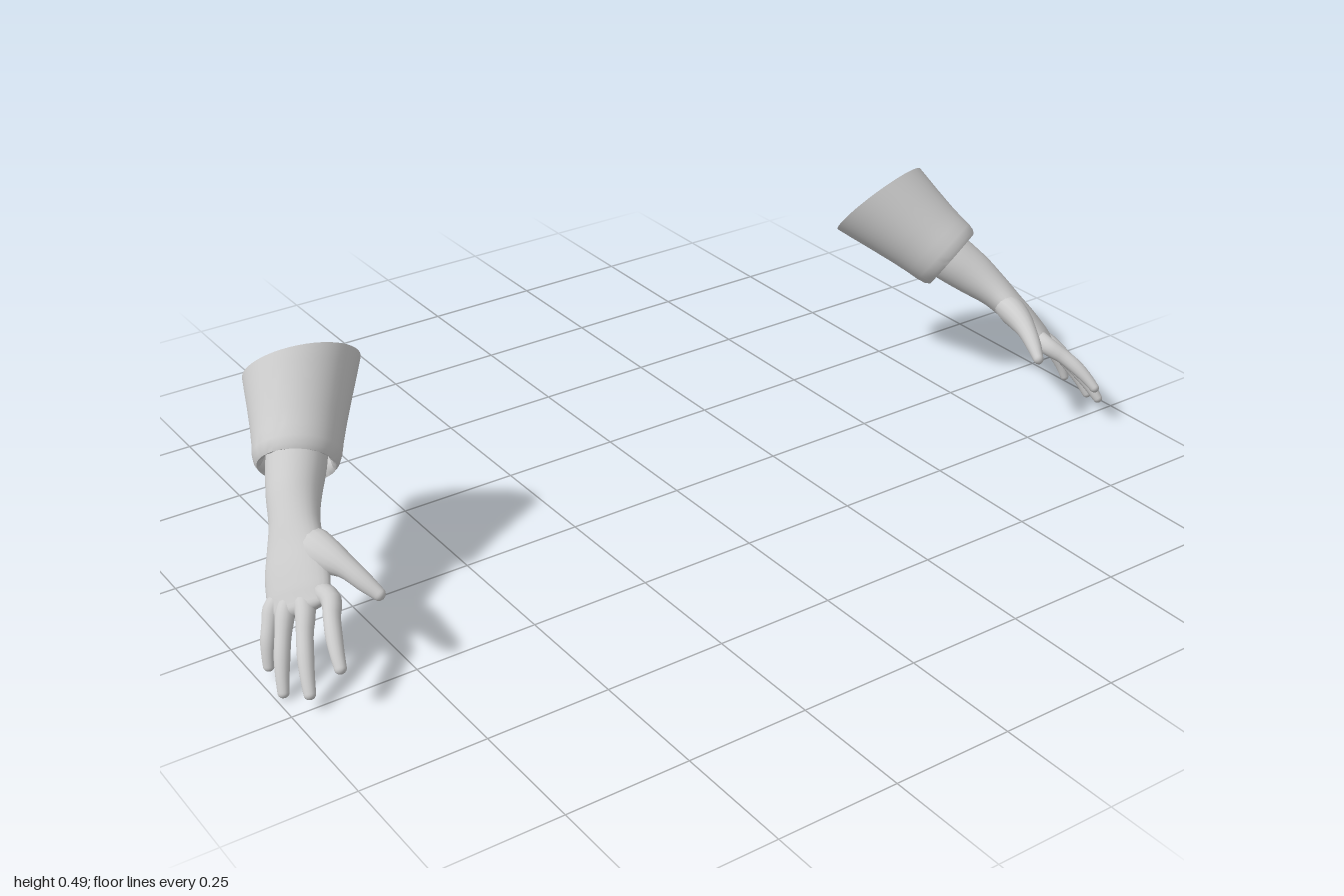
import * as THREE from 'three';
import { toCreasedNormals } from 'three/addons/utils/BufferGeometryUtils.js';

const V = (x, y, z) => new THREE.Vector3(x, y, z);
const ACROSS = V(-0.62, 0.35, 0.7);   // little finger towards index
const BACK = V(0.675, 0.69, 0.25);    // out of the back of the hand

// Elliptical ring around a centre, facing along the tangent
function ring(center, tangent, a, b, n, wave = 0) {
  const u = ACROSS.clone().addScaledVector(tangent, -ACROSS.dot(tangent)).normalize();
  const v = tangent.clone().cross(u);
  return Array.from({ length: n }, (_, i) => {
    const t = (i / n) * Math.PI * 2, w = wave * Math.cos(t * 16);
    return center.clone().addScaledVector(u, (a + w) * Math.cos(t)).addScaledVector(v, (b + w) * Math.sin(t));
  });
}

// Skin through rings; side = -1 mirrors it across x
function skin(rings, side) {
  const n = rings[0].length, pos = [], idx = [];
  rings.forEach(r => r.forEach(p => pos.push(p.x * side, p.y, p.z)));
  const tri = (a, b, c) => (side > 0 ? idx.push(a, b, c) : idx.push(a, c, b));
  for (let i = 0; i < rings.length - 1; i++) {
    for (let j = 0; j < n; j++) {
      const k = (j + 1) % n, a = i * n, b = a + n;
      tri(a + j, a + k, b + j);
      tri(a + k, b + k, b + j);
    }
  }
  const g = new THREE.BufferGeometry();
  g.setAttribute('position', new THREE.Float32BufferAttribute(pos, 3));
  g.setIndex(idx);
  g.computeVertexNormals();
  return g;
}

// Smooth limb through rows of [x, y, z, halfWidth, halfThickness] with a rounded tip
function limb(rows, side, n = 16, steps = 14) {
  const path = new THREE.CatmullRomCurve3(rows.map(r => V(r[0], r[1], r[2])));
  const size = new THREE.CatmullRomCurve3(rows.map(r => V(r[3], r[4], 0)));
  const rings = [ring(path.getPoint(0), path.getTangent(0), 0, 0, n)];
  for (let i = 0; i <= steps; i++) {
    const s = size.getPoint(i / steps);
    rings.push(ring(path.getPoint(i / steps), path.getTangent(i / steps), s.x, s.y, n));
  }
  const end = path.getPoint(1), dir = path.getTangent(1), s = size.getPoint(1);
  for (let i = 1; i <= 5; i++) {
    const t = (i / 5) * Math.PI / 2, c = i === 5 ? 0 : Math.cos(t);
    rings.push(ring(end.clone().addScaledVector(dir, s.y * Math.sin(t)), dir, s.x * c, s.y * c, n));
  }
  return skin(rings, side);
}

// Hollow sleeve: rim, outside, rolled cuff, inside; rows of [along, radius, wave]
function sleeve(side) {
  const rows = [
    [0, 0.073], [0, 0.113], [0.15, 0.107], [0.35, 0.099], [0.6, 0.09], [0.78, 0.085], [0.9, 0.083],
    [0.98, 0.079], [1.02, 0.073], [1, 0.066, 0.002], [0.94, 0.062, 0.003], [0.82, 0.064], [0.5, 0.067], [0, 0.073]
  ];
  const top = V(0.708, 0.406, -0.228), bottom = V(0.8, 0.293, -0.083);
  const n0 = V(0.2, -0.66, 0.72), n1 = V(0.42, -0.57, 0.71);
  const rings = rows.map(([t, r, w = 0]) =>
    ring(top.clone().lerp(bottom, t), n0.clone().lerp(n1, t).normalize(), r, r, 48, w));
  return toCreasedNormals(skin(rings, side), 0.9);
}

// Fingers: base, tip, base radius, tip radius
const FINGERS = {
  indexFinger: [[0.868, 0.156, 0.168], [0.912, 0.088, 0.278], 0.019, 0.0125],
  middleFinger: [[0.908, 0.133, 0.143], [0.96, 0.034, 0.246], 0.019, 0.0125],
  ringFinger: [[0.933, 0.12, 0.112], [0.985, 0.014, 0.189], 0.0185, 0.012],
  littleFinger: [[0.943, 0.116, 0.08], [0.98, 0.03, 0.122], 0.018, 0.0115]
};

function fingerRows([base, tip, r0, r1]) {
  const a = V(...base), b = V(...tip), root = V(0.89, 0.175, 0.075);
  const at = (t, arch) => a.clone().lerp(b, t).addScaledVector(BACK, arch).toArray();
  return [
    [...a.clone().lerp(root, 0.35).toArray(), r0 * 0.95, r0 * 0.9],
    [...at(0, 0.002), r0, r0],
    [...at(0.3, 0.007), r0 * 0.83, r0 * 0.83],
    [...at(0.55, 0.008), r0 * 0.82, r0 * 0.8],
    [...at(0.8, 0.005), r1 * 1.08, r1],
    [...at(1, 0), r1 * 0.92, r1 * 0.8]
  ];
}

function arm(side) {
  const g = new THREE.Group();
  g.name = side > 0 ? 'leftArm' : 'rightArm';
  const material = new THREE.MeshStandardMaterial({ color: 0xcccccc });
  const add = (name, geometry) => {
    const m = new THREE.Mesh(geometry, material);
    m.name = name;
    g.add(m);
  };

  add('sleeve', sleeve(side));

  // Forearm narrowing to the wrist, then widening into the palm
  add('forearmAndPalm', limb([
    [0.783, 0.314, -0.11, 0.058, 0.056],
    [0.803, 0.291, -0.08, 0.058, 0.054],
    [0.832, 0.26, -0.035, 0.053, 0.047],
    [0.855, 0.231, 0.008, 0.05, 0.037],
    [0.872, 0.203, 0.042, 0.058, 0.032],
    [0.888, 0.175, 0.075, 0.066, 0.029],
    [0.902, 0.15, 0.105, 0.066, 0.024],
    [0.911, 0.135, 0.124, 0.06, 0.018]
  ], side, 28, 28));

  // Thumb with its fleshy mound
  add('thumb', limb([
    [0.858, 0.212, 0.035, 0.03, 0.026],
    [0.85, 0.208, 0.075, 0.038, 0.03],
    [0.837, 0.204, 0.115, 0.031, 0.026],
    [0.824, 0.197, 0.15, 0.021, 0.02],
    [0.81, 0.181, 0.187, 0.0175, 0.016],
    [0.797, 0.166, 0.216, 0.0125, 0.011]
  ], side));

  for (const [name, spec] of Object.entries(FINGERS)) add(name, limb(fingerRows(spec), side));
  return g;
}

export function createModel() {
  const model = new THREE.Group();
  model.name = 'sleevedArms';
  model.add(arm(1), arm(-1));
  return model;
}
